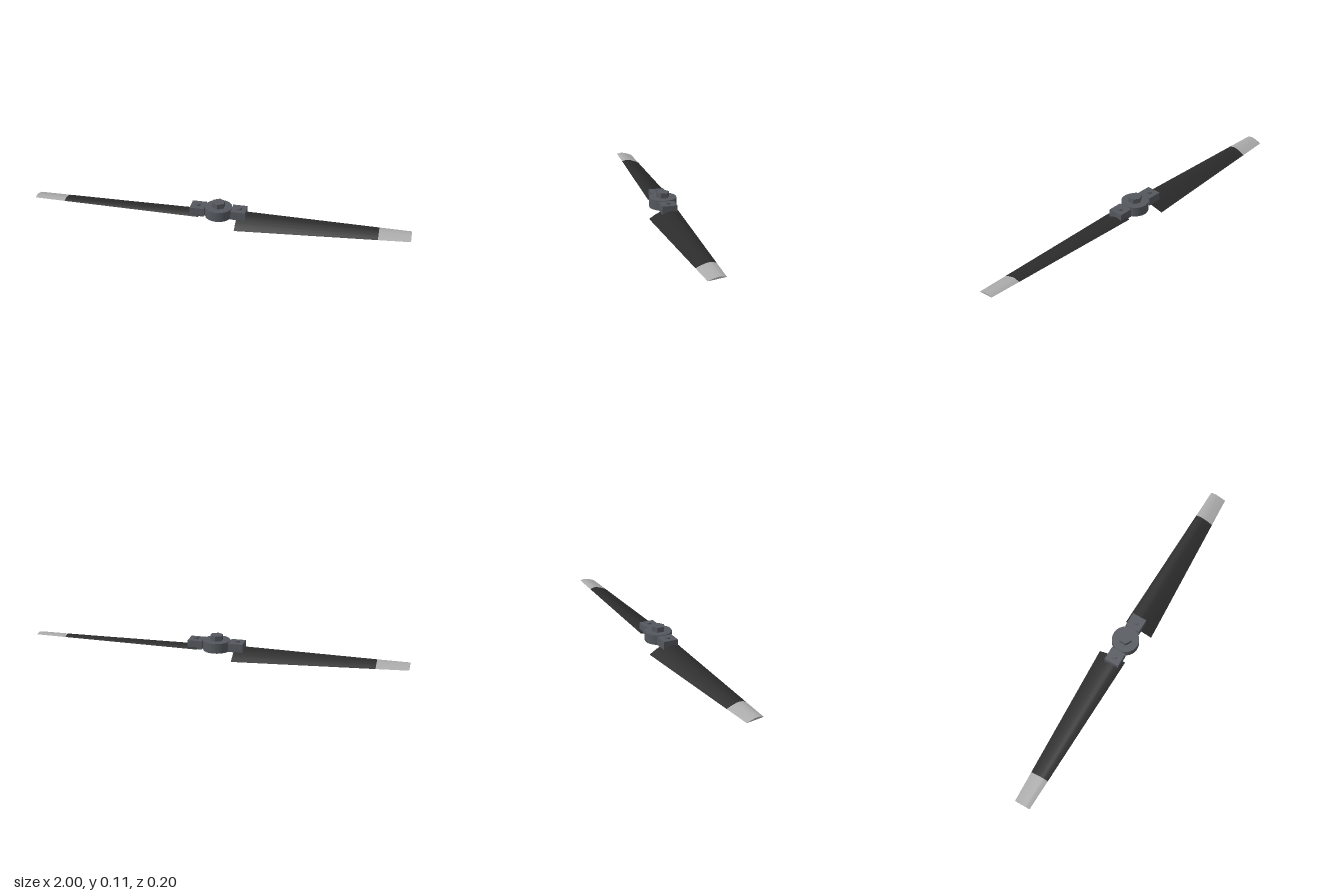
import * as THREE from 'three';
import { toCreasedNormals } from 'three/addons/utils/BufferGeometryUtils.js';

// Blade root section from trailing to leading edge: [z, top y, bottom y]
const SECTION = [
  [0.098, 0.003, 0.003], [0.08, 0.015, 0.007], [0.06, 0.027, 0.011],
  [0.04, 0.037, 0.015], [0.02, 0.046, 0.019], [0.004, 0.051, 0.023],
  [-0.01, 0.053, 0.028], [-0.024, 0.050, 0.029], [-0.04, 0.045, 0.033],
  [-0.055, 0.038, 0.038],
];
const ROOT = 0.1, BAND = 0.835, TIP = 1;

// Closed loop around the section at distance x, narrowing and flattening outward
function sectionAt(x) {
  const t = (x - ROOT) / (TIP - ROOT);
  const place = (z, y) => [x, 0.037 + (y - 0.037) * (1 - 0.65 * t), z * (1 - 0.43 * t)];
  const top = SECTION.map(([z, y]) => place(z, y));
  const bottom = SECTION.slice(1, -1).reverse().map(([z, , y]) => place(z, y));
  return [...top, ...bottom];
}

// Solid length of blade between two distances from the hub
function bladeGeometry(x0, x1) {
  const a = sectionAt(x0), b = sectionAt(x1), count = a.length;
  const positions = [...a, ...b].flat(), index = [];
  for (let i = 0; i < count; i++) {
    const j = (i + 1) % count;
    index.push(i, count + i, count + j, i, count + j, j);
  }
  // End caps joined between upper and lower points
  const under = (k) => (count - k) % count;
  for (let k = 0; k < SECTION.length - 1; k++) {
    const t0 = k, t1 = k + 1, u0 = under(k), u1 = under(k + 1);
    if (t1 !== u1) {
      index.push(t0, t1, u1);
      index.push(count + t0, count + u1, count + t1);
    }
    if (t0 !== u0) {
      index.push(t0, u1, u0);
      index.push(count + t0, count + u0, count + u1);
    }
  }
  const geometry = new THREE.BufferGeometry();
  geometry.setAttribute('position', new THREE.Float32BufferAttribute(positions, 3));
  geometry.setIndex(index);
  return toCreasedNormals(geometry, 0.45);
}

export function createModel() {
  const model = new THREE.Group();
  model.name = 'propeller';
  const metal = new THREE.MeshStandardMaterial({ color: 0x54585e });
  const black = new THREE.MeshStandardMaterial({ color: 0x2b2b2c });
  const silver = new THREE.MeshStandardMaterial({ color: 0xaaaaaa });

  const add = (parent, name, geometry, material, x = 0, y = 0, z = 0) => {
    const mesh = new THREE.Mesh(geometry, material);
    mesh.name = name;
    mesh.position.set(x, y, z);
    parent.add(mesh);
  };

  // Round hub with a hexagonal nut on top
  add(model, 'hub', new THREE.CylinderGeometry(0.071, 0.071, 0.053, 48), metal, 0, 0.0565);
  add(model, 'hubNut', toCreasedNormals(new THREE.CylinderGeometry(0.035, 0.035, 0.03, 6), 0.5),
    metal, 0, 0.095);

  // Two identical arms, half a turn apart
  for (let i = 0; i < 2; i++) {
    const arm = new THREE.Group();
    arm.name = i ? 'rightArm' : 'leftArm';
    arm.rotation.y = i * Math.PI;
    add(arm, 'bladeGrip', new THREE.BoxGeometry(0.077, 0.045, 0.08), metal, 0.1085, 0.0575);
    add(arm, 'gripBolt', new THREE.CylinderGeometry(0.013, 0.013, 0.012, 24), metal, 0.11, 0.082);
    add(arm, 'blade', bladeGeometry(ROOT, BAND), black);
    add(arm, 'bladeTip', bladeGeometry(BAND, TIP), silver);
    model.add(arm);
  }
  return model;
}
